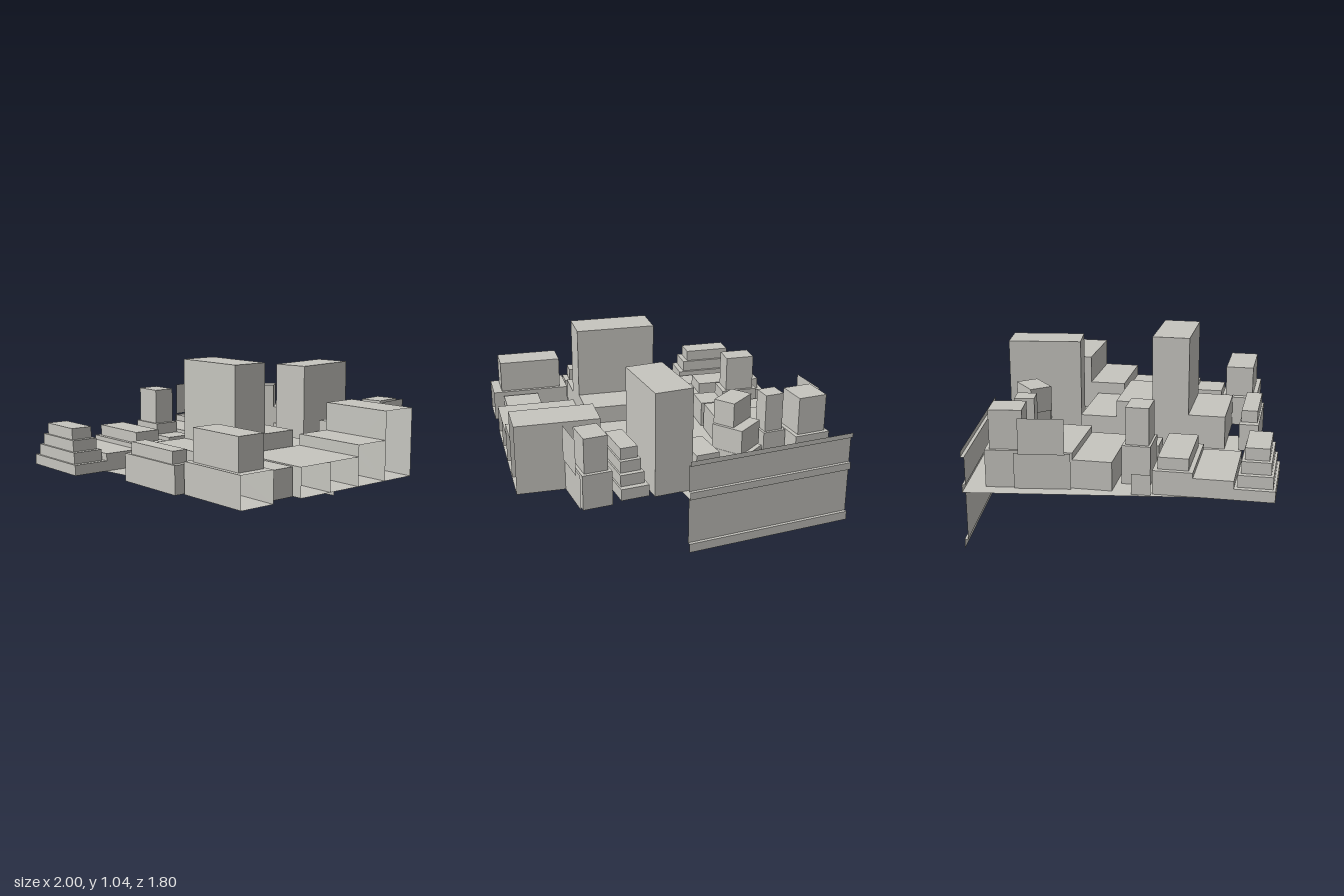
import * as THREE from 'three';

const TILT = 0.14; // street angle of the rotated rows
const BASE = 0.34; // street level

export function createModel() {
  const model = new THREE.Group();
  const concrete = new THREE.MeshStandardMaterial({ color: 0xc6c5bf, side: THREE.DoubleSide });
  concrete.name = 'concrete';

  // Block whose back left corner is at x, z; w runs along its own x axis, d along its z axis.
  // An open block has no right wall.
  function block(name, x, z, w, d, y0, y1, angle = 0, open = false) {
    const geo = new THREE.BoxGeometry(w, y1 - y0, d);
    if (open) {
      geo.setIndex(Array.from(geo.index.array).slice(6));
      geo.clearGroups();
    }
    geo.translate(w / 2, (y1 - y0) / 2, d / 2);
    const mesh = new THREE.Mesh(geo, concrete);
    mesh.name = name;
    mesh.position.set(x, y0, z);
    mesh.rotation.y = -angle;
    model.add(mesh);
  }

  // Point at local offset (u, v) from a corner in the tilted frame
  function at(x, z, u, v) {
    const c = Math.cos(TILT), s = Math.sin(TILT);
    return [x + u * c - v * s, z + u * s + v * c];
  }

  // Flat panel from centre, size and rotation
  function panel(name, w, h, pos, rx = 0, ry = 0) {
    const mesh = new THREE.Mesh(new THREE.PlaneGeometry(w, h), concrete);
    mesh.name = name;
    mesh.position.set(...pos);
    mesh.rotation.set(rx, ry, 0);
    model.add(mesh);
  }

  // Street slab
  panel('ground', 1.053, 1.565, [-0.4135, BASE, -0.0975], -Math.PI / 2);

  // Retaining wall swept from a stepped profile of [z, y] points
  const profile = [
    [-0.9, 0], [-0.9, 0.055], [-0.88, 0.055], [-0.88, 0.34], [-0.9, 0.34],
    [-0.9, 0.385], [-0.88, 0.385], [-0.88, 0.55], [-0.9, 0.55], [-0.9, 0.58]
  ];
  const pos = [];
  for (let i = 0; i < profile.length - 1; i++) {
    const [z0, y0] = profile[i], [z1, y1] = profile[i + 1];
    const l = -0.94, r = 0.113;
    pos.push(r, y0, z0, l, y0, z0, l, y1, z1, r, y0, z0, l, y1, z1, r, y1, z1);
  }
  const wallGeo = new THREE.BufferGeometry();
  wallGeo.setAttribute('position', new THREE.Float32BufferAttribute(pos, 3));
  wallGeo.computeVertexNormals();
  const wall = new THREE.Mesh(wallGeo, concrete);
  wall.name = 'retainingWall';
  model.add(wall);

  // Tilted rows of houses: one roof height per plot, 0 leaves a gap
  function row(name, x, z, w, d, heights, open) {
    heights.forEach((h, i) => {
      if (h) block(name + (i + 1), ...at(x, z, 0, i * d), w, d, BASE, h, TILT, open);
    });
  }
  const LEFT = [-0.81, -0.516], W = 0.488, D = 0.2265;
  row('leftRowHouse', ...LEFT, W, D, [0.55, 0.51, 0, 0.48, 0.45, 0.405], false);
  row('centreRowHouse', -0.02, -0.326, W, 0.23, [0.51, 0.615, 1.04, 0.55], false);
  row('rightRowHouse', 0.51, -0.532, 0.495, 0.2295, [0.76, 0.585, 0.515, 0.515], true);

  // Roof block on the left row
  block('leftRowRoofBlock', ...at(...LEFT, 0.03, 3 * D + 0.025), 0.415, 0.175, 0.48, 0.55, TILT);

  // Terraced roof at the front of the left row
  for (let i = 1; i <= 3; i++) {
    const inset = 0.032 * i;
    block('terrace' + i, ...at(...LEFT, inset, 5 * D + 0.016 * i),
      W - 2 * inset, D - 0.03 * i, 0.335 + 0.07 * i, 0.405 + 0.07 * i, TILT);
  }

  // Small tower, annex and screen in the gap of the left row
  block('gapTowerBase', -0.757, -0.02, 0.23, 0.165, BASE, 0.57, TILT);
  block('gapTowerTop', -0.738, 0.0, 0.18, 0.135, 0.57, 0.79, TILT);
  block('gapAnnex', -0.532, 0.012, 0.147, 0.175, BASE, 0.5, TILT);
  panel('gapScreen', 0.11, 0.12, [-0.921, 0.4, 0.095], 0, Math.PI / 2 - TILT);

  // Front row
  block('frontCentreBase', -0.163, 0.672, 0.49, 0.12, BASE, 0.51, TILT);
  block('frontCentreTop', -0.113, 0.688, 0.405, 0.1, 0.51, 0.585, TILT);
  block('frontRightBase', 0.36, 0.582, 0.49, 0.228, BASE, 0.53, TILT, true);
  block('frontRightTop', 0.402, 0.61, 0.39, 0.178, 0.53, 0.725, TILT);
  block('courtShed', 0.587, 0.414, 0.225, 0.175, BASE, 0.51, TILT);

  // Back row
  block('backLeftBase', -0.845, -0.785, 0.225, 0.245, BASE, 0.56);
  block('backLeftTop', -0.825, -0.76, 0.18, 0.19, 0.56, 0.79);
  block('backSlimBase', -0.615, -0.665, 0.145, 0.145, BASE, 0.56);
  block('backSlimTop', -0.6, -0.648, 0.115, 0.115, 0.56, 0.79);
  block('backLowHouse', -0.13, -0.765, 0.145, 0.245, BASE, 0.54);
  block('backTower', 0.05, -0.785, 0.23, 0.455, BASE, 0.97);
  block('backRightBase', 0.535, -0.785, 0.175, 0.225, BASE, 0.55);
  block('backRightTop', 0.552, -0.763, 0.14, 0.18, 0.55, 0.76);

  // Turned house with three receding floors: x, z, width, depth
  const floors = [[-0.455, -0.672, 0.2, 0.235], [-0.45, -0.642, 0.21, 0.2], [-0.42, -0.58, 0.2, 0.135]];
  floors.forEach(([x, z, w, d], i) =>
    block('turnedFloor' + (i + 1), x, z, w, d, BASE + 0.15 * i, BASE + 0.15 * (i + 1), -0.58));

  // Stepped house behind the right row
  const steps = [[0.305, 0.475, -0.76, -0.33], [0.32, 0.465, -0.725, -0.36],
    [0.33, 0.455, -0.695, -0.39], [0.34, 0.445, -0.67, -0.415]];
  steps.forEach(([x0, x1, z0, z1], i) =>
    block('steppedFloor' + (i + 1), x0, z0, x1 - x0, z1 - z0, BASE + 0.07 * i, BASE + 0.07 * (i + 1)));

  // Free-standing side screens
  panel('leftScreenLower', 0.32, 0.21, [-0.86, 0.445, -0.46], 0, Math.PI / 2);
  panel('leftScreenUpper', 0.26, 0.21, [-0.88, 0.655, -0.46], 0, Math.PI / 2);
  panel('rightScreenLower', 0.28, 0.21, [0.72, 0.445, -0.64], 0, Math.PI / 2);
  panel('rightScreenUpper', 0.23, 0.21, [0.74, 0.655, -0.65], 0, Math.PI / 2);

  return model;
}
